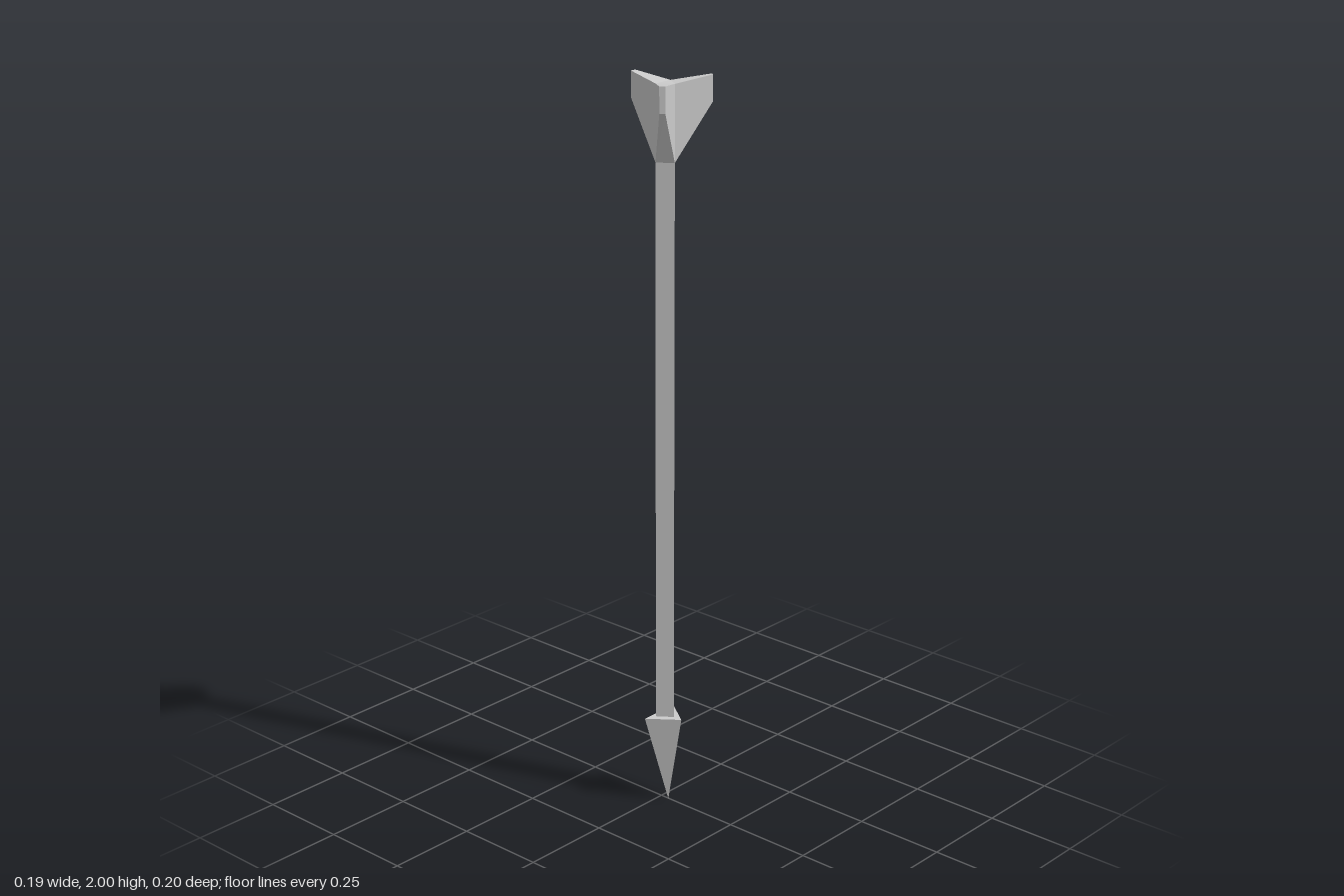
import * as THREE from 'three';

const material = new THREE.MeshStandardMaterial({ color: 0xcccccc, flatShading: true });

// Closed solid between two loops of [x, y, z] points, both counterclockwise from above
function loft(name, bottom, top) {
  const n = bottom.length;
  const positions = [];
  const tri = (a, b, c) => positions.push(...a, ...b, ...c);
  for (let i = 0; i < n; i++) {
    const j = (i + 1) % n;
    tri(bottom[i], bottom[j], top[j]);
    tri(bottom[i], top[j], top[i]);
  }
  for (let i = 1; i < n - 1; i++) {
    tri(top[0], top[i], top[i + 1]);
    tri(bottom[0], bottom[i + 1], bottom[i]);
  }
  const geometry = new THREE.BufferGeometry();
  geometry.setAttribute('position', new THREE.Float32BufferAttribute(positions, 3));
  geometry.computeVertexNormals();
  const mesh = new THREE.Mesh(geometry, material);
  mesh.name = name;
  return mesh;
}

const at = (y) => ([x, z]) => [x, y, z];

export function createModel() {
  const model = new THREE.Group();
  model.name = 'arrow';

  const headBase = 0.253, vaneLow = 1.785, rootTop = 1.985;

  // Three-sided shaft
  const corners = [[0.006, -0.027], [0.006, 0.029], [0.045, 0]];
  model.add(loft('shaft', corners.map(at(headBase)), corners.map(at(rootTop))));

  // Three-sided pointed head, tip on the ground
  const barbs = [[-0.006, -0.055], [-0.006, 0.06], [0.072, 0]];
  const head = new THREE.Group();
  head.name = 'head';
  const tip = [0.027, 0, 0.002];
  head.add(loft('headPoint', barbs.map(() => tip), barbs.map(at(headBase))));
  model.add(head);

  // One tapered vane on each side of the shaft
  const outerEdges = [
    [[-0.095, -0.007], [-0.095, 0.009]],
    [[0.083, 0.1], [0.094, 0.09]],
    [[0.088, -0.094], [0.078, -0.101]],
  ];
  const fletching = new THREE.Group();
  fletching.name = 'fletching';
  outerEdges.forEach(([p, q], i) => {
    const a = corners[i], b = corners[(i + 1) % 3];
    const section = (root, outer) => [at(root)(a), at(outer)(p), at(outer)(q), at(root)(b)];
    fletching.add(loft('vane' + (i + 1), section(vaneLow, 1.932), section(rootTop, 2)));
  });
  model.add(fletching);

  return model;
}
